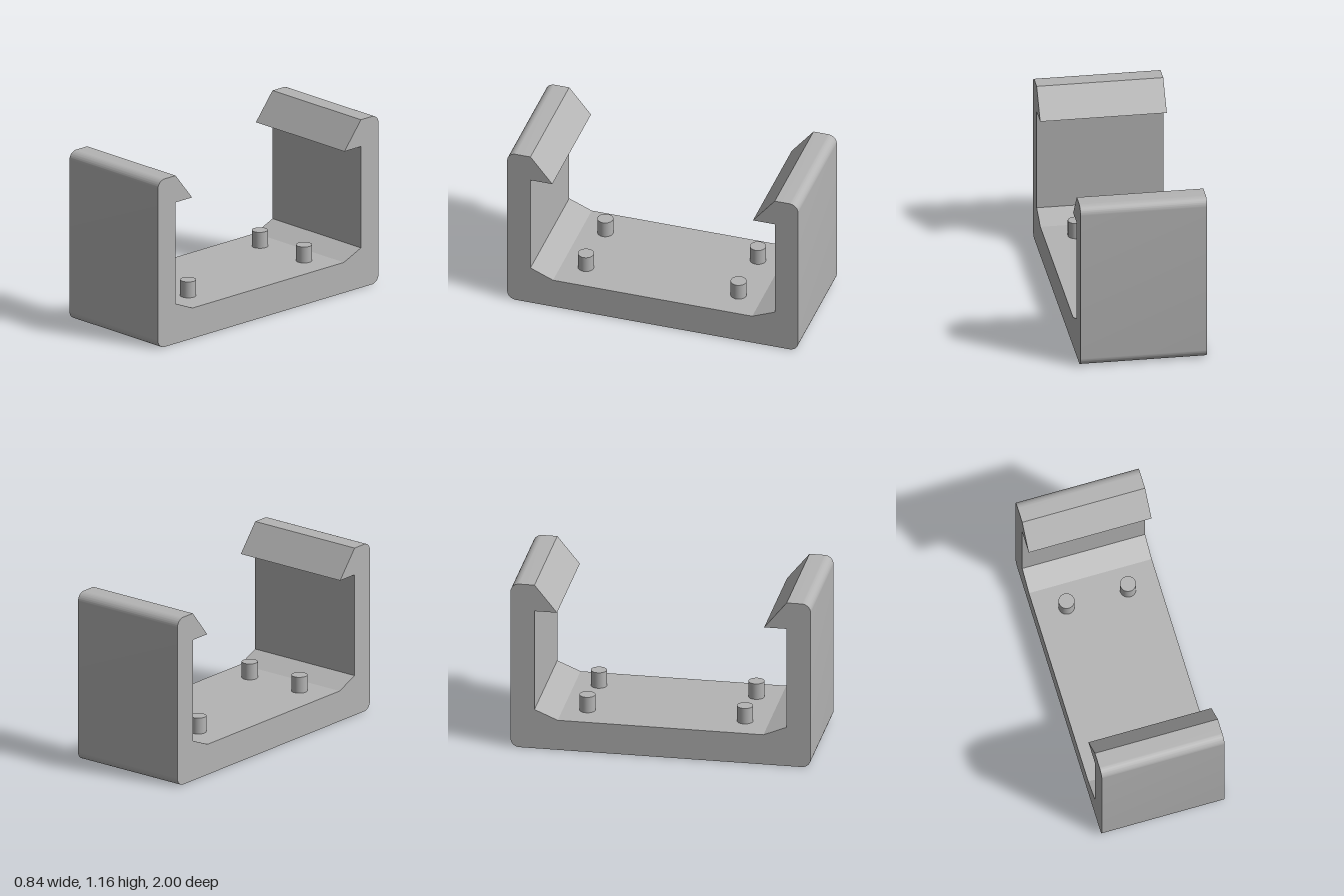
import * as THREE from 'three';
import { toCreasedNormals } from 'three/addons/utils/BufferGeometryUtils.js';

const WIDTH = 0.84, HEIGHT = 1.16, FLOOR = 0.21, R = 0.06;

// Side outline of the clip: floor, two walls, inward hooks, chamfered inner corners
function clipProfile() {
  const s = new THREE.Shape();
  s.moveTo(-1 + R, 0);
  s.lineTo(1 - R, 0);
  s.absarc(1 - R, R, R, -Math.PI / 2, 0);
  s.lineTo(1, HEIGHT - R);
  s.absarc(1 - R, HEIGHT - R, R, 0, Math.PI / 2);
  const inner = [[0.84, HEIGHT], [0.69, 0.975], [0.84, 0.975], [0.84, 0.275], [0.685, FLOOR]];
  inner.forEach(([z, y]) => s.lineTo(z, y));
  [...inner].reverse().forEach(([z, y]) => s.lineTo(-z, y));
  s.lineTo(-1 + R, HEIGHT);
  s.absarc(-1 + R, HEIGHT - R, R, Math.PI / 2, Math.PI);
  s.lineTo(-1, R);
  s.absarc(-1 + R, R, R, Math.PI, Math.PI * 1.5);
  return s;
}

export function createModel() {
  const model = new THREE.Group();
  model.name = 'clipBracket';
  const grey = new THREE.MeshStandardMaterial({ name: 'grey', color: 0xb4b4b4 });

  // Bracket body, extruded across the width
  const bodyGeometry = new THREE.ExtrudeGeometry(clipProfile(), {
    depth: WIDTH, bevelEnabled: false, curveSegments: 8,
  });
  bodyGeometry.translate(0, 0, -WIDTH / 2);
  bodyGeometry.rotateY(-Math.PI / 2);
  const body = new THREE.Mesh(toCreasedNormals(bodyGeometry, 0.3), grey);
  body.name = 'bracketBody';
  model.add(body);

  // Four locating pegs on the floor, sunk slightly into it
  const pegBottom = FLOOR - 0.02, pegTop = 0.32;
  const pegGeometry = new THREE.CylinderGeometry(0.053, 0.053, pegTop - pegBottom, 32);
  for (const x of [-0.21, 0.21]) {
    for (const z of [-0.525, 0.525]) {
      const peg = new THREE.Mesh(pegGeometry, grey);
      peg.name = `${z > 0 ? 'front' : 'back'}${x > 0 ? 'Left' : 'Right'}Peg`;
      peg.position.set(x, (pegBottom + pegTop) / 2, z);
      model.add(peg);
    }
  }
  return model;
}
